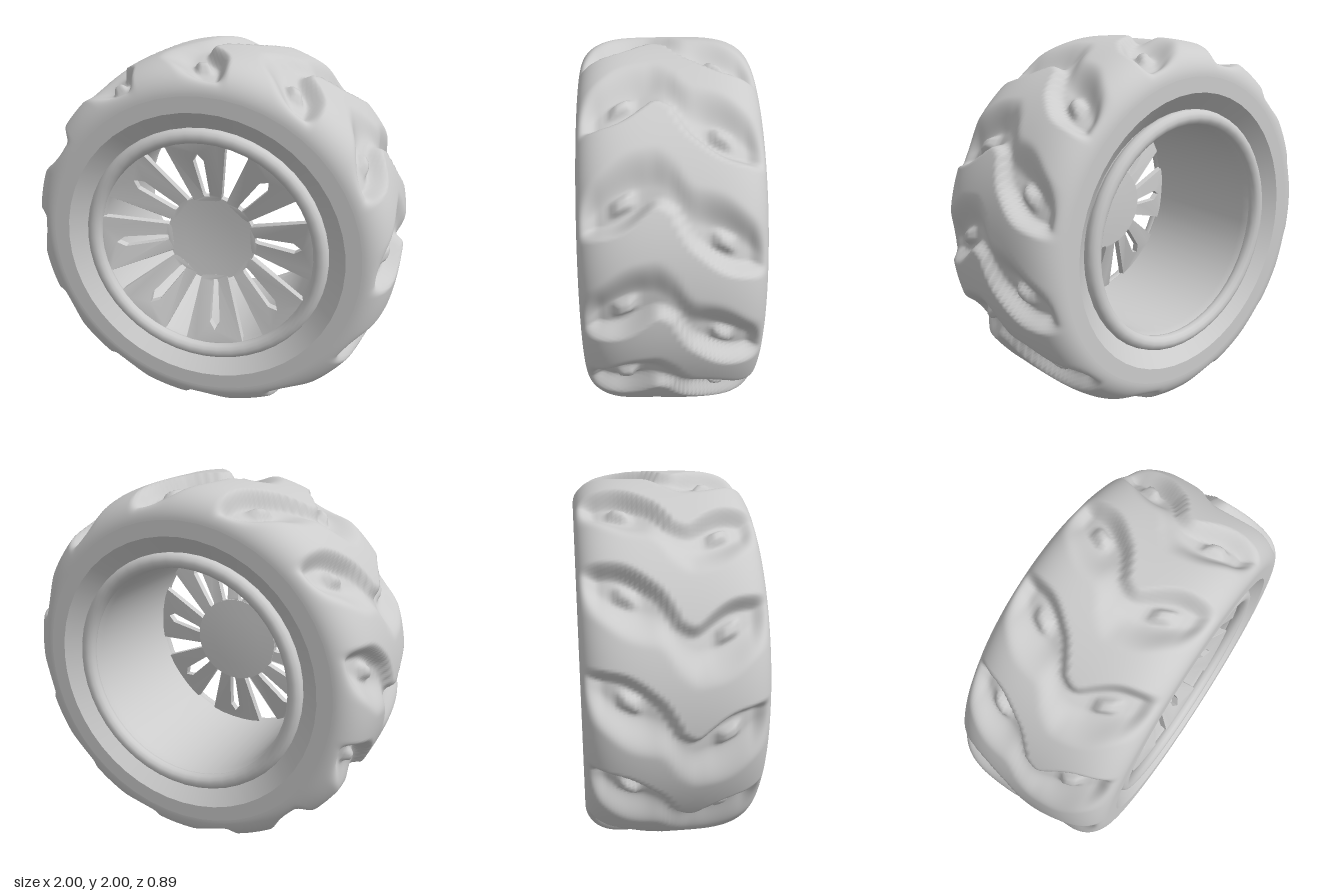
import * as THREE from 'three';
import { mergeVertices, toCreasedNormals } from 'three/addons/utils/BufferGeometryUtils.js';

const HALF = 0.445;
const LUGS = 12;
const SPOKES = 8;
const grey = new THREE.MeshStandardMaterial({ color: 0xcccccc, side: THREE.DoubleSide });
const { smoothstep, lerp, degToRad } = THREE.MathUtils;

// Revolve [radius, z] pairs about the z axis
function revolve(pairs, segments) {
  const g = new THREE.LatheGeometry(pairs.map(([r, z]) => new THREE.Vector2(r, z)), segments);
  return g.rotateX(Math.PI / 2);
}

function addMesh(parent, name, geometry) {
  const mesh = new THREE.Mesh(geometry, grey);
  mesh.name = name;
  parent.add(mesh);
  return mesh;
}

// How far the tread is cut away at an angle (degrees from the top) and depth z
function grooveCut(angle, z) {
  const az = Math.abs(z);
  const pitch = 360 / LUGS;
  // Staggered chevron: the two halves sweep back from the middle
  const front = -9 + 30 * az;
  const back = 2 + 30 * az;
  const centre = lerp(back, front, smoothstep(z, -0.1, 0.1));
  let d = angle - centre;
  d -= pitch * Math.round(d / pitch);
  // Pockets are widest half way to the shoulder, and shallow in the middle
  const pocket = Math.exp(-(((az - 0.23) / 0.13) ** 2));
  const width = 3 + 3 * pocket;
  // Steep leading wall, long trailing slope
  const wall = d > 0
    ? 1 - smoothstep(d, width - 2, width + 1.5)
    : 1 - smoothstep(-d, width - 3, width + 8);
  const depth = lerp(0.045, 0.085, smoothstep(az, 0, 0.18)) * (1 - smoothstep(az, 0.34, HALF));
  // Small stud on the pocket floor
  const stud = 0.035 * (1 - smoothstep(Math.abs(d + 0.5), 1, 3.2)) * (1 - smoothstep(Math.abs(az - 0.23), 0.02, 0.065));
  return depth * wall - stud * wall;
}

// Crowned tread with the grooves pressed into it
function treadGeometry() {
  const profile = [];
  const rows = 60;
  for (let i = 0; i <= rows; i++) {
    const s = Math.sin((i / rows - 0.5) * Math.PI);
    profile.push([0.83 + 0.17 * Math.sqrt(Math.max(0, 1 - s ** 4)), s * HALF]);
  }
  let g = revolve(profile, 480);
  const p = g.attributes.position;
  for (let i = 0; i < p.count; i++) {
    const x = p.getX(i), y = p.getY(i), z = p.getZ(i);
    const r = Math.hypot(x, y);
    const k = (r - grooveCut(Math.atan2(x, y) * 180 / Math.PI, z)) / r;
    p.setXY(i, x * k, y * k);
  }
  g.deleteAttribute('uv');
  g.deleteAttribute('normal');
  g = mergeVertices(g, 1e-4);
  g.computeVertexNormals();
  return g;
}

// Dished depth of the wheel face at a radius
const dish = (r) => 0.22 + 0.115 * Math.max(0, (r - 0.24) / 0.33);

// One broad spoke pointing up, with a pointed slot along its middle
function spokeGeometry() {
  const polar = (r, deg) => new THREE.Vector2(r * Math.sin(degToRad(deg)), r * Math.cos(degToRad(deg)));
  const outline = [polar(0.23, -18), polar(0.255, -18.5)];
  for (let i = 0; i <= 6; i++) outline.push(polar(0.585, lerp(-16.1, 16.1, i / 6)));
  outline.push(polar(0.255, 18.5), polar(0.23, 18));
  const shape = new THREE.Shape(outline);
  const half = [[0.013, 0.245], [0.018, 0.26], [0.029, 0.47]];
  const slot = [
    ...half.map(([x, y]) => new THREE.Vector2(x, y)),
    new THREE.Vector2(0, 0.515),
    ...half.map(([x, y]) => new THREE.Vector2(-x, y)).reverse(),
  ];
  shape.holes.push(new THREE.Path(slot));
  const g = new THREE.ExtrudeGeometry(shape, { depth: 0.04, bevelEnabled: false });
  const p = g.attributes.position;
  for (let i = 0; i < p.count; i++) {
    p.setZ(i, p.getZ(i) + dish(Math.hypot(p.getX(i), p.getY(i))));
  }
  return toCreasedNormals(g, 0.5);
}

export function createModel() {
  const model = new THREE.Group();
  model.name = 'wheel';
  const wheel = new THREE.Group();
  wheel.name = 'wheelAssembly';
  wheel.position.y = 1;
  model.add(wheel);

  addMesh(wheel, 'tread', treadGeometry());

  // Flat sidewalls, sloping bead seats and rolled rim lips on both sides
  for (const side of [1, -1]) {
    const label = side > 0 ? 'front' : 'back';
    const ring = (pairs) => {
      const list = pairs.map(([r, z]) => [r, z * side]);
      return revolve(side > 0 ? list.reverse() : list, 48);
    };
    addMesh(wheel, label + 'Sidewall', ring([[0.75, HALF], [0.832, HALF]]));
    addMesh(wheel, label + 'Bead', ring([[0.64, 0.345], [0.75, HALF]]));
    const lip = addMesh(wheel, label + 'RimLip', new THREE.TorusGeometry(0.62, 0.04, 12, 48));
    lip.position.z = 0.39 * side;
  }

  // Open rim barrel
  addMesh(wheel, 'rimBarrel', revolve([[0.6, -0.39], [0.575, -0.33], [0.575, 0.35], [0.6, 0.39]], 48));

  // Hub disc, slightly hollow
  const hub = revolve([[0, 0.208], [0.15, 0.213], [0.245, 0.219], [0.245, 0.262], [0.15, 0.253], [0, 0.248]], 48);
  addMesh(wheel, 'hub', toCreasedNormals(hub, 0.6));

  // Slotted spokes
  const spokes = new THREE.Group();
  spokes.name = 'spokes';
  const spoke = spokeGeometry();
  for (let i = 0; i < SPOKES; i++) {
    addMesh(spokes, 'spoke', spoke).rotation.z = degToRad(5) + (i * Math.PI * 2) / SPOKES;
  }
  wheel.add(spokes);

  return model;
}
